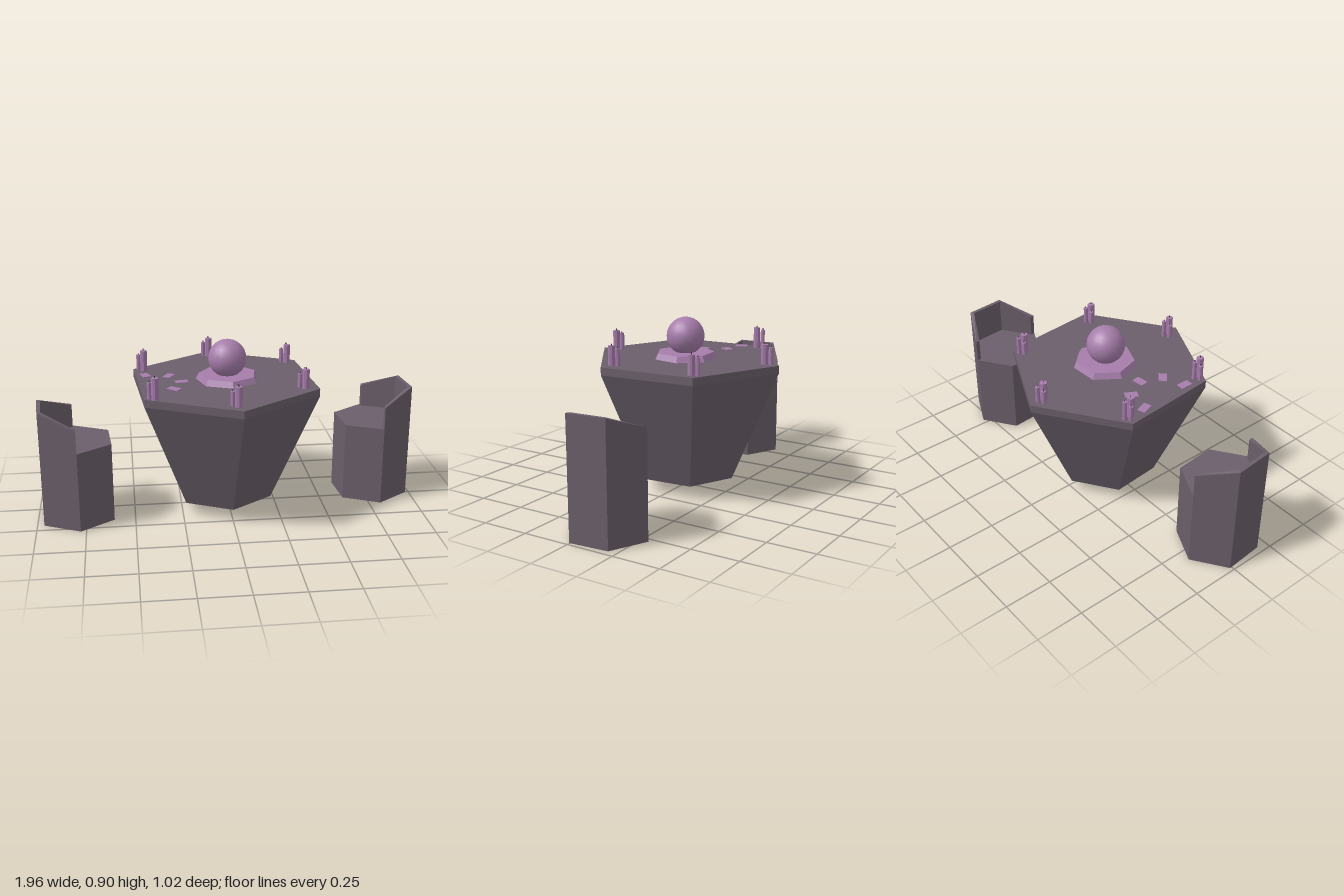
import * as THREE from 'three';

const stone = new THREE.MeshStandardMaterial({ color: 0x6a5e6a, flatShading: true, side: THREE.DoubleSide });
const purple = new THREE.MeshStandardMaterial({ color: 0xa67dab, flatShading: true });
const smoothPurple = new THREE.MeshStandardMaterial({ color: 0xa67dab });
const wickMat = new THREE.MeshStandardMaterial({ color: 0x3a3038 });
const TURN = 0.08; // shared twist of the hexagons

function add(parent, name, geo, mat, x = 0, y = 0, z = 0, ry = 0) {
  const m = new THREE.Mesh(geo, mat);
  m.name = name;
  m.position.set(x, y, z);
  m.rotation.y = ry;
  parent.add(m);
  return m;
}

// Raised back of a seat: a thick wall along three sides of the hexagon
function backGeometry(rOut, rIn, seatY) {
  const tops = [0.54, 0.61, 0.61, 0.54];
  const pos = [], idx = [];
  tops.forEach((top, k) => {
    const a = TURN + (k * Math.PI) / 3;
    const s = Math.sin(a), c = Math.cos(a);
    // outer bottom, outer top, inner top, inner bottom
    [[rOut, seatY], [rOut, top], [rIn, top], [rIn, seatY]].forEach(([r, y]) => pos.push(r * s, y, r * c));
  });
  for (let k = 0; k < 3; k++) {
    for (let j = 0; j < 3; j++) {
      const a = k * 4 + j, b = a + 4;
      idx.push(a, b, a + 1, b, b + 1, a + 1);
    }
  }
  idx.push(0, 1, 2, 0, 2, 3, 12, 14, 13, 12, 15, 14); // wall ends
  const g = new THREE.BufferGeometry();
  g.setAttribute('position', new THREE.Float32BufferAttribute(pos, 3));
  g.setIndex(idx);
  const flat = g.toNonIndexed();
  flat.computeVertexNormals();
  return flat;
}

function makeSeat(name, x, z, ry) {
  const g = new THREE.Group();
  g.name = name;
  const r = 0.207, seatY = 0.42;
  // hollow hexagonal base, open underneath
  add(g, 'seatBase', new THREE.CylinderGeometry(r, r, seatY, 6, 1, true), stone, 0, seatY / 2, 0, TURN);
  add(g, 'seatTop', new THREE.CircleGeometry(r, 6, Math.PI / 2).rotateX(-Math.PI / 2), stone, 0, seatY, 0, TURN);
  add(g, 'seatBack', backGeometry(r, 0.185, seatY), stone);
  g.position.set(x, 0, z);
  g.rotation.y = ry;
  return g;
}

function makeCandles(x, z, top) {
  const g = new THREE.Group();
  g.name = 'candleCluster';
  const base = 0.69;
  // [x offset, z offset, radius, height]
  [[0, 0, 0.018, top - base], [0, -0.036, 0.011, top - base - 0.01], [-0.027, -0.02, 0.011, top - base - 0.028]]
    .forEach(([dx, dz, r, h]) => {
      add(g, 'candle', new THREE.CylinderGeometry(r, r, h, 8), purple, dx, base + h / 2, dz);
      add(g, 'wick', new THREE.CylinderGeometry(0.002, 0.002, 0.01, 5), wickMat, dx, base + h + 0.005, dz);
    });
  g.position.set(x, 0, z);
  return g;
}

export function createModel() {
  const model = new THREE.Group();
  model.name = 'seanceTable';

  // Tapered hexagonal table with a vertical rim and a shallow pointed underside
  const profile = [[0, 0.043], [0.26, 0.065], [0.51, 0.65], [0.51, 0.69], [0, 0.69]]
    .map(([r, y]) => new THREE.Vector2(r, y));
  add(model, 'table', new THREE.LatheGeometry(profile, 6), stone, -0.02, 0, -0.003, TURN);

  // Crystal ball on its seven-sided stand
  add(model, 'ballStand', new THREE.CylinderGeometry(0.15, 0.166, 0.03, 7), purple, 0, 0.705, 0, 0.06);
  add(model, 'crystalBall', new THREE.SphereGeometry(0.098, 18, 14), smoothPurple, -0.003, 0.802, 0);

  // Candle groups near the six corners
  [[-0.06, -0.43, 0.79], [0.35, -0.254, 0.79], [0.37, 0.2, 0.79],
    [0.003, 0.437, 0.79], [-0.387, 0.29, 0.8], [-0.425, -0.192, 0.8]]
    .forEach(([x, z, top]) => model.add(makeCandles(x, z, top)));

  // Cards laid in an arc: x, z, turn
  [[-0.42, -0.1, 0.35], [-0.3, -0.08, -0.51], [-0.24, 0.027, 1.7], [-0.285, 0.138, 0.85], [-0.4, 0.18, 0]]
    .forEach(([x, z, ry]) => add(model, 'card', new THREE.BoxGeometry(0.042, 0.004, 0.065), purple, x, 0.692, z, ry));

  // Two facing seats, their backs on the outer side
  model.add(makeSeat('leftSeat', 0.795, -0.085, 0));
  model.add(makeSeat('rightSeat', -0.795, 0.078, Math.PI));
  return model;
}
